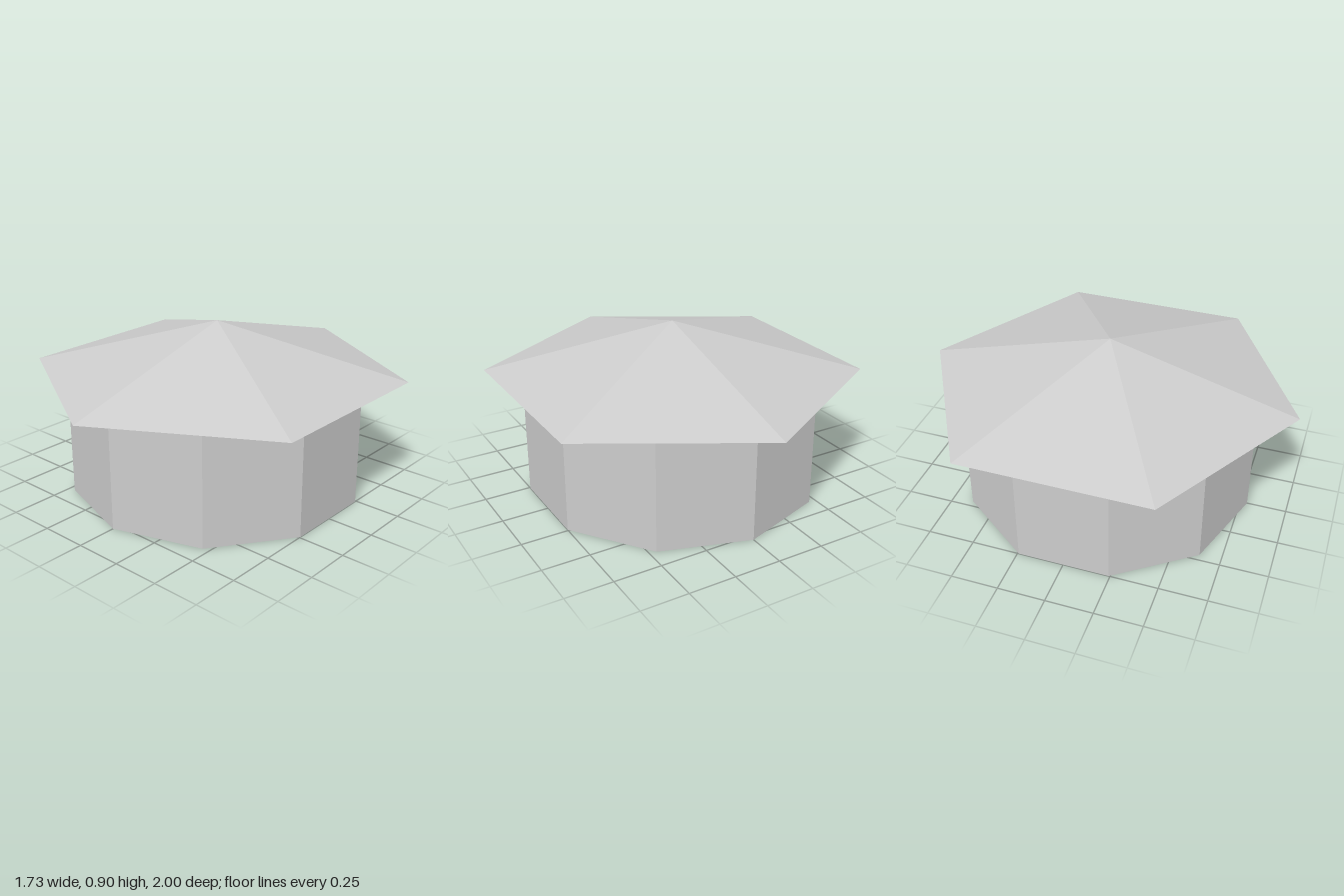
import * as THREE from 'three';

export function createModel() {
  const group = new THREE.Group();
  group.name = 'pavilion';
  const solid = new THREE.MeshStandardMaterial({ color: 0xcccccc, flatShading: true });
  const thin = new THREE.MeshStandardMaterial({ color: 0xcccccc, flatShading: true, side: THREE.DoubleSide });

  function add(name, geometry, y, material = solid) {
    const mesh = new THREE.Mesh(geometry, material);
    mesh.name = name;
    mesh.position.y = y;
    group.add(mesh);
    return mesh;
  }

  // Ten-sided wall, open at the top and bottom
  const wallHeight = 0.617;
  add('wall', new THREE.CylinderGeometry(0.788, 0.788, wallHeight, 10, 1, true), wallHeight / 2, thin);

  // Six-sided roof with a closed underside
  const eaves = 0.625, peak = 0.9;
  add('roof', new THREE.ConeGeometry(1, peak - eaves, 6), (eaves + peak) / 2);

  // Hexagonal post hanging from the roof
  const postBottom = 0.295;
  add('post', new THREE.CylinderGeometry(0.034, 0.034, eaves - postBottom, 6), (eaves + postBottom) / 2);

  // Upright board carried by the post
  add('board', new THREE.BoxGeometry(0.66, 0.15, 0.042), 0.385);

  return group;
}
